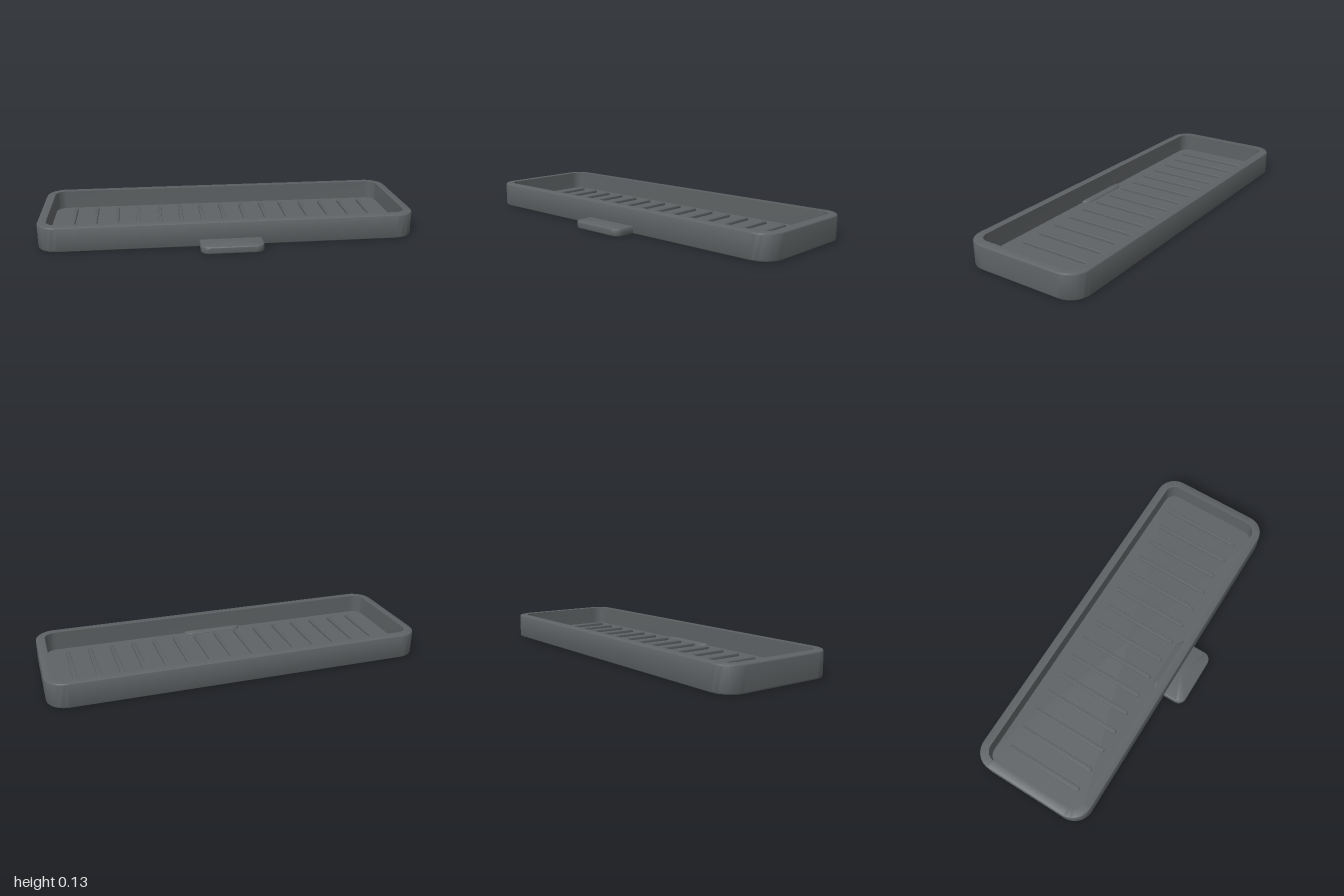
import * as THREE from 'three';
import { toCreasedNormals } from 'three/addons/utils/BufferGeometryUtils.js';

// Points of a rounded rectangle in the xz plane, pulled in by an inset
function ring(w, d, r, inset) {
  const rad = Math.max(r - inset, 0.002), steps = 10, pts = [];
  const cx = w / 2 - inset - rad, cz = d / 2 - inset - rad;
  [[1, 1], [-1, 1], [-1, -1], [1, -1]].forEach(([sx, sz], q) => {
    for (let i = 0; i <= steps; i++) {
      const a = (q + i / steps) * Math.PI / 2;
      pts.push([sx * cx + rad * Math.cos(a), sz * cz + rad * Math.sin(a)]);
    }
  });
  return pts;
}

// Sweeps a profile of [inset, y] pairs round a rounded rectangle and caps both ends
function loft(w, d, r, profile) {
  const pos = [], idx = [], n = 44;
  for (const [inset, y] of profile) {
    for (const [x, z] of ring(w, d, r, inset)) pos.push(x, y, z);
  }
  const last = (profile.length - 1) * n, bottom = profile.length * n;
  pos.push(0, profile[0][1], 0, 0, profile[profile.length - 1][1], 0);
  for (let i = 0; i < n; i++) {
    const j = (i + 1) % n;
    for (let k = 0; k < last; k += n) {
      idx.push(k + i, k + n + i, k + j, k + j, k + n + i, k + n + j);
    }
    idx.push(bottom, i, j, bottom + 1, last + j, last + i);
  }
  const geo = new THREE.BufferGeometry();
  geo.setAttribute('position', new THREE.Float32BufferAttribute(pos, 3));
  geo.setIndex(idx);
  return toCreasedNormals(geo, 0.6);
}

// Outer wall profile with softened lower and upper edges
function roundedSide(h, b) {
  const out = [], steps = 4;
  for (let i = 0; i <= steps; i++) {
    const a = i / steps * Math.PI / 2;
    out.push([b - b * Math.sin(a), b - b * Math.cos(a)]);
  }
  for (let i = 0; i <= steps; i++) {
    const a = i / steps * Math.PI / 2;
    out.push([b - b * Math.cos(a), h - b + b * Math.sin(a)]);
  }
  return out;
}

export function createModel() {
  const group = new THREE.Group();
  const grey = new THREE.MeshStandardMaterial({ color: 0x5e6264 });
  grey.name = 'dark grey';
  const add = (name, geo, x, y, z) => {
    const mesh = new THREE.Mesh(geo, grey);
    mesh.name = name;
    mesh.position.set(x, y, z);
    group.add(mesh);
  };

  const height = 0.133, floorY = 0.032, wall = 0.047, trayZ = -0.057;

  // Open tray: outer wall, flat rim, inner wall and floor
  const trayProfile = [...roundedSide(height, 0.01), [wall, height], [wall, floorY]];
  add('tray', loft(2, 0.664, 0.105, trayProfile), 0, 0, trayZ);

  // Front tab, running through the wall to the tray floor
  add('frontTab', loft(0.33, 0.2, 0.045, roundedSide(0.04, 0.008)), 0, 0, 0.289);

  // Row of raised drainage ribs
  const rib = loft(0.022, 0.442, 0.006, roundedSide(0.025, 0.004));
  for (let i = -7; i <= 7; i++) {
    add('rib', rib, i * 0.12, floorY - 0.01, trayZ - 0.003);
  }
  return group;
}
